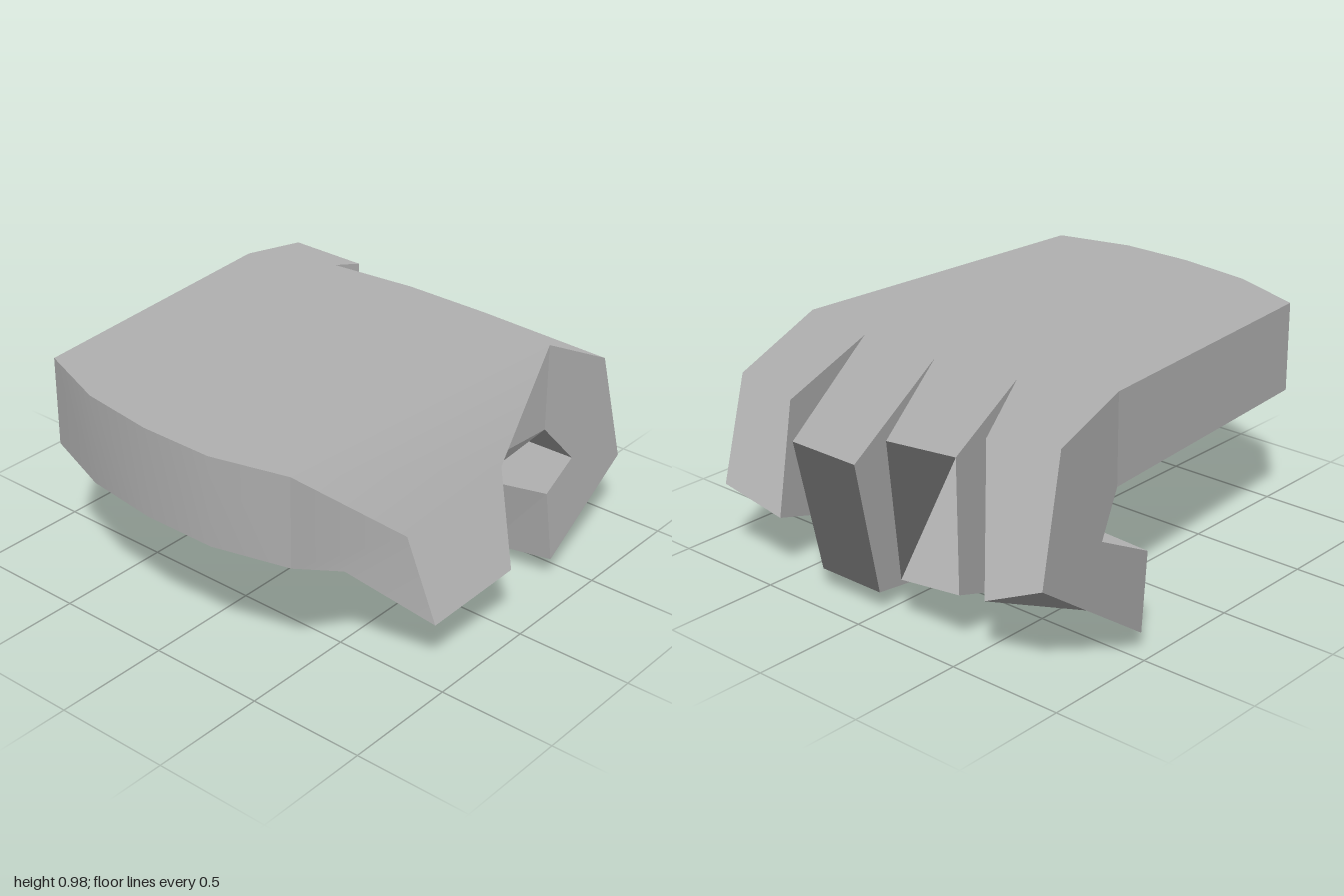
import * as THREE from 'three';
import { toCreasedNormals } from 'three/addons/utils/BufferGeometryUtils.js';

const TOP = 0.98, BOTTOM = 0.6;
const UP = [0, 1, 0], DOWN = [0, -1, 0];
const material = new THREE.MeshStandardMaterial({ color: 0xb0b0b0 });

// Builds a mesh from faces { points, normals }: corners run counter-clockwise from
// outside, with one normal per corner; a face without normals is shaded flat
function faceMesh(name, faces) {
  const pos = [], nor = [];
  for (const { points, normals } of faces) {
    for (let i = 1; i < points.length - 1; i++) {
      const corners = [0, i, i + 1];
      const [a, b, c] = corners.map(k => new THREE.Vector3(...points[k]));
      const flat = b.sub(a).cross(c.sub(a)).normalize();
      for (const k of corners) {
        const n = normals ? new THREE.Vector3(...normals[k]).normalize() : flat;
        pos.push(...points[k]);
        nor.push(n.x, n.y, n.z);
      }
    }
  }
  const geometry = new THREE.BufferGeometry();
  geometry.setAttribute('position', new THREE.Float32BufferAttribute(pos, 3));
  geometry.setAttribute('normal', new THREE.Float32BufferAttribute(nor, 3));
  const mesh = new THREE.Mesh(geometry, material);
  mesh.name = name;
  return mesh;
}

// A face whose corners all share one normal
const softFace = (points, normal) => ({ points, normals: points.map(() => normal) });

// Finger roots on the palm edge as [x, z]
const roots = [[-0.77, -0.39], [-0.41, -0.54], [-0.03, -0.58], [0.35, -0.58], [0.72, -0.51]];

// Each side runs: upper knuckle, lower knuckle, tip bottom, tip top, inner bend
const fingers = [
  { name: 'littleFinger',
    left: [[-0.82, 0.89, -0.77], [-0.89, 0.42, -0.95], [-0.96, 0.09, -0.47], [-0.95, 0.41, -0.43], [-0.88, 0.49, -0.61]],
    right: [[-0.51, 0.86, -0.82], [-0.6, 0.28, -0.935], [-0.685, 0.065, -0.42], [-0.67, 0.39, -0.38], [-0.575, 0.45, -0.6]] },
  { name: 'ringFinger',
    left: [[-0.42, 0.78, -0.885], [-0.46, 0.25, -0.92], [-0.485, 0.06, -0.26], [-0.48, 0.385, -0.23], [-0.44, 0.38, -0.6]],
    right: [[-0.09, 0.76, -0.91], [-0.14, 0.2, -0.9], [-0.185, 0.045, -0.25], [-0.18, 0.375, -0.22], [-0.13, 0.34, -0.6]] },
  { name: 'middleFinger',
    left: [[-0.01, 0.67, -1], [0, 0.09, -0.88], [0.005, 0, -0.11], [0.005, 0.335, -0.1], [0, 0.25, -0.58]],
    right: [[0.325, 0.67, -1], [0.315, 0.09, -0.88], [0.31, 0, -0.11], [0.31, 0.33, -0.1], [0.32, 0.25, -0.58]] },
  { name: 'indexFinger',
    left: [[0.44, 0.78, -0.9], [0.5, 0.27, -0.93], [0.58, 0.08, -0.35], [0.575, 0.41, -0.29], [0.48, 0.47, -0.58]],
    right: [[0.76, 0.8, -0.86], [0.81, 0.33, -0.94], [0.865, 0.1, -0.39], [0.86, 0.43, -0.34], [0.8, 0.46, -0.6]] },
];

// Curled finger: the back is shaded as one surface with the palm top, the inside
// as one with the palm underside, and the tip is flat
function makeFinger({ name, left, right }, i) {
  const side = ([x, z], pts) => [[x, TOP, z], ...pts, [x, BOTTOM, z]];
  const l = side(roots[i], left), r = side(roots[i + 1], right);
  const faces = [];
  for (let k = 0; k < 6; k++) {
    const points = [l[k], r[k], r[k + 1], l[k + 1]];
    faces.push(k === 3 ? { points } : softFace(points, k < 3 ? UP : DOWN));
  }
  for (const wall of [[5, 6, 0, 1], [5, 1, 2], [5, 2, 3, 4]]) {
    faces.push(softFace(wall.map(k => l[k]), [-0.98, 0, 0.2]));
    faces.push(softFace(wall.map(k => r[k]).reverse(), [0.98, 0, 0.2]));
  }
  return faceMesh(name, faces);
}

// Thumb: four-sided rings from the palm side to the tip
function makeThumb() {
  const rings = [
    [[0.62, TOP, 0.92], [0.72, TOP, -0.51], [0.72, BOTTOM, -0.51], [0.62, BOTTOM, 0.92]],
    [[0.94, 0.74, 0.66], [0.92, 0.76, 0.07], [0.68, 0.51, 0.04], [0.66, 0.48, 0.67]],
    [[0.92, 0.24, 0.45], [0.955, 0.29, 0.02], [0.65, 0.49, 0.03], [0.62, 0.43, 0.54]],
    [[0.49, 0.11, 0.19], [0.55, 0.16, -0.1], [0.38, 0.42, -0.1], [0.32, 0.37, 0.15]],
  ];
  // Shading of the outer, rear, inner and front strips, ring by ring
  const outer = [UP, [0.15, 0.95, -0.2], [0.15, 0.95, -0.2], [0.15, 0.95, -0.2]];
  const rear = Array(4).fill([0.85, 0, -0.5]);
  const inner = Array(4).fill(DOWN);
  const front = [[0.95, 0, 0.3], [0.85, 0, 0.5], [0.65, 0, 0.75], [0.65, 0, 0.75]];
  const faces = [{ points: [...rings[3]].reverse() }];
  for (let i = 0; i < 3; i++) {
    const a = rings[i], b = rings[i + 1];
    [outer, rear, inner, front].forEach((n, j) => {
      const k = (j + 1) % 4;
      faces.push({ points: [a[j], b[j], b[k], a[k]], normals: [n[i], n[i + 1], n[i + 1], n[i]] });
    });
  }
  return faceMesh('thumb', faces);
}

// Palm: flat slab with a smoothly rounded wrist end
function makePalm() {
  const wrist = [[0.62, 0.92], [0.3, 1], [-0.02, 1], [-0.35, 0.955], [-0.68, 0.83]];
  const outline = [...wrist, ...roots].map(([x, z]) => new THREE.Vector2(x, -z));
  const geometry = new THREE.ExtrudeGeometry(new THREE.Shape(outline), { depth: TOP - BOTTOM, bevelEnabled: false });
  geometry.rotateX(-Math.PI / 2).translate(0, BOTTOM, 0);
  const mesh = new THREE.Mesh(toCreasedNormals(geometry, 0.6), material);
  mesh.name = 'palm';
  return mesh;
}

export function createModel() {
  const hand = new THREE.Group();
  hand.name = 'hand';
  hand.add(makePalm(), makeThumb(), ...fingers.map(makeFinger));
  return hand;
}
